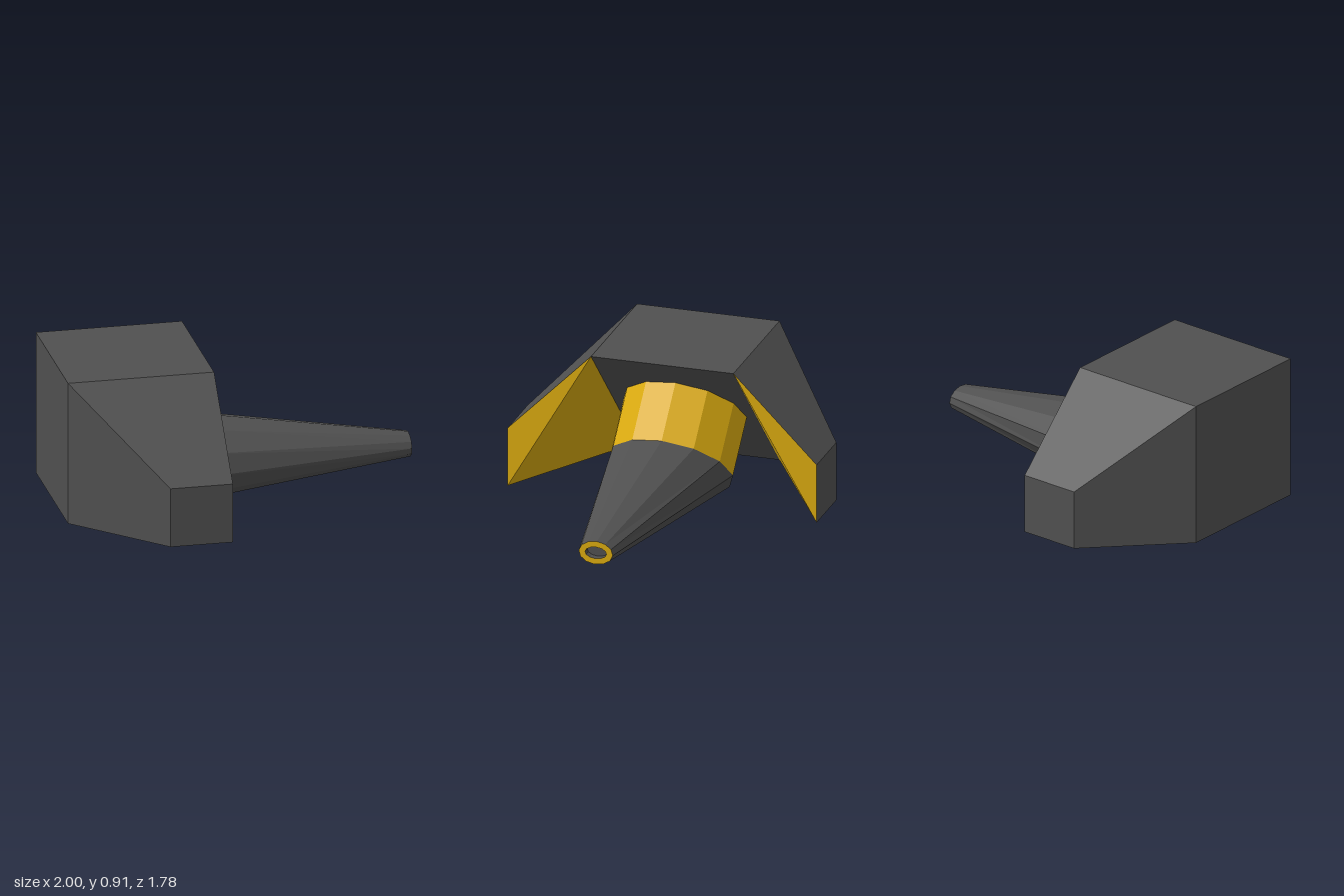
import * as THREE from 'three';

// Flat-shaded mesh from convex polygons, each a counter-clockwise list of points
function polyMesh(name, polygons, material) {
  const positions = [];
  for (const p of polygons) {
    for (let i = 1; i < p.length - 1; i++) positions.push(...p[0], ...p[i], ...p[i + 1]);
  }
  const geometry = new THREE.BufferGeometry();
  geometry.setAttribute('position', new THREE.Float32BufferAttribute(positions, 3));
  geometry.computeVertexNormals();
  const mesh = new THREE.Mesh(geometry, material);
  mesh.name = name;
  return mesh;
}

const flip = ([x, y, z]) => [x, y, -z];
const mirrored = (polygons) => polygons.map((p) => p.map(flip).reverse());

// Twelve-sided ring around the x axis; lean tilts it forward at the top
const SIDES = 12;
function ring(x, y, ry, rz, lean = 0) {
  return Array.from({ length: SIDES }, (_, i) => {
    const a = (i / SIDES) * Math.PI * 2 - 0.068;
    const h = ry * Math.cos(a);
    return [x + h * lean, y + h, rz * Math.sin(a)];
  });
}

// Quads between two rings
const loft = (r0, r1) => r0.map((p, i) => {
  const j = (i + 1) % SIDES;
  return [p, r0[j], r1[j], r1[i]];
});

export function createModel() {
  const charcoal = new THREE.MeshStandardMaterial({ color: 0x505050 });
  charcoal.name = 'charcoal';
  const gold = new THREE.MeshStandardMaterial({ color: 0xd9aa10 });
  gold.name = 'gold';

  const model = new THREE.Group();
  model.name = 'turret';

  // Corners of the housing (z = 0.41) and of the side cheek (z = 0.89)
  const A = [-1, 0.91, 0.41], B = [-0.18, 0.91, 0.41], C = [-1, 0.09, 0.41];
  const D = [-0.53, 0.43, 0.89], E = [-0.18, 0.43, 0.89];
  const F = [-0.18, 0.09, 0.89], G = [-0.53, 0.09, 0.89];

  // Wedge housing: top, back and slanted mounting face
  model.add(polyMesh('housing', [
    [A, B, flip(B), flip(A)],
    [A, flip(A), flip(C), C],
    [B, C, flip(C), flip(B)],
  ], charcoal));

  // Side cheeks: dark shell outside, gold faces inside
  const shell = [[A, D, E, B], [A, C, G, D], [D, G, F, E], [C, F, G]];
  const lining = [[B, E, F], [B, F, C]];
  model.add(polyMesh('frontCheekShell', shell, charcoal));
  model.add(polyMesh('backCheekShell', mirrored(shell), charcoal));
  model.add(polyMesh('frontCheekLining', lining, gold));
  model.add(polyMesh('backCheekLining', mirrored(lining), gold));

  // Collar, tapered barrel and muzzle
  const base = ring(-0.59, 0.5, 0.2475, 0.35, 1);
  const collarEnd = ring(-0.345, 0.25, 0.2475, 0.35, 1);
  const muzzle = ring(1, 0.25, 0.068, 0.098);
  const bore = ring(1, 0.25, 0.034, 0.062);
  const boreEnd = ring(0.96, 0.25, 0.034, 0.062);
  model.add(polyMesh('collar', loft(base, collarEnd), gold));
  model.add(polyMesh('barrel', loft(collarEnd, muzzle), charcoal));
  model.add(polyMesh('muzzleRim', loft(muzzle, bore), gold));
  model.add(polyMesh('bore', [...loft(bore, boreEnd), boreEnd], charcoal));

  return model;
}
